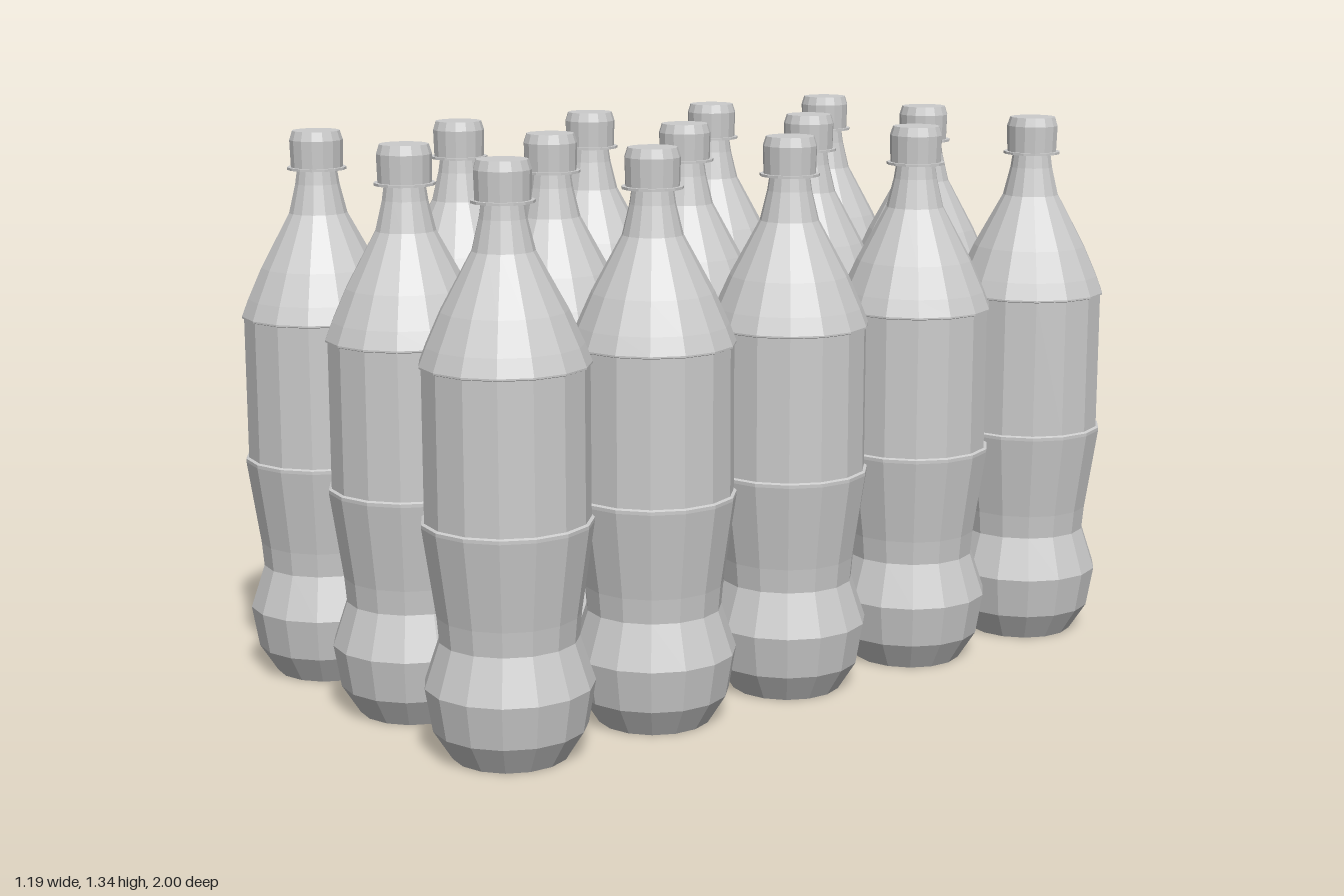
import * as THREE from 'three';

const SIDES = 15;
const PHASE = THREE.MathUtils.degToRad(3);

// Faceted turned part from [radius, height] pairs, listed bottom to top
function turned(points) {
  const profile = points.map(([r, y]) => new THREE.Vector2(r, y));
  return new THREE.LatheGeometry(profile, SIDES, PHASE);
}

export function createModel() {
  const material = new THREE.MeshStandardMaterial({ color: 0xcccccc, flatShading: true });

  const parts = {
    // Closed base, bulging foot, pinched waist and upper grip edge
    lowerBody: turned([
      [0, 0], [0.133, 0], [0.176, 0.068], [0.193, 0.168],
      [0.158, 0.272], [0.163, 0.33], [0.193, 0.535], [0.193, 0.543], [0.186, 0.546],
    ]),
    // Straight band around the middle
    labelBand: turned([[0.186, 0.546], [0.186, 0.888]]),
    // Thin lip, sloping shoulder and neck
    shoulder: turned([
      [0.186, 0.888], [0.191, 0.89], [0.191, 0.894], [0.175, 0.935],
      [0.141, 1.01], [0.07, 1.14], [0.053, 1.21], [0.048, 1.244],
    ]),
    // Support ring below the cap
    neckRing: turned([[0.048, 1.244], [0.071, 1.244], [0.071, 1.25], [0.062, 1.25]]),
    // Cap with a small bevel
    cap: turned([[0.062, 1.25], [0.064, 1.315], [0.057, 1.337], [0, 1.337]]),
  };

  // Three columns by five rows of identical bottles
  const group = new THREE.Group();
  group.name = 'bottles';
  for (let row = -2; row <= 2; row++) {
    for (let col = -1; col <= 1; col++) {
      const bottle = new THREE.Group();
      bottle.name = 'bottle';
      for (const [name, geometry] of Object.entries(parts)) {
        const mesh = new THREE.Mesh(geometry, material);
        mesh.name = name;
        bottle.add(mesh);
      }
      bottle.position.set(col * 0.401, 0, row * 0.4035);
      group.add(bottle);
    }
  }
  return group;
}
